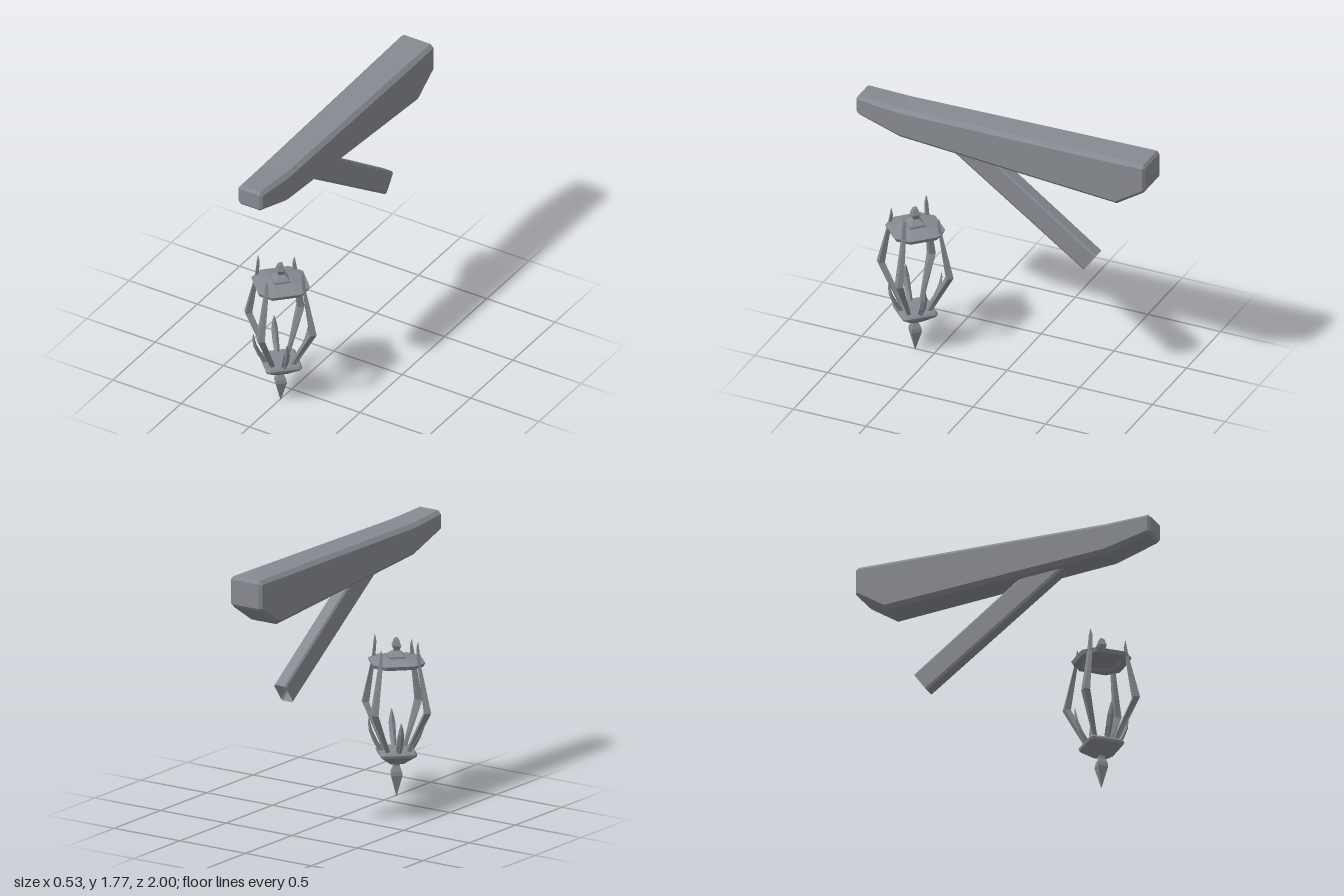
import * as THREE from 'three';

const iron = new THREE.MeshStandardMaterial({ color: 0x868990, flatShading: true });
const ironOpen = new THREE.MeshStandardMaterial({ color: 0x868990, flatShading: true, side: THREE.DoubleSide });

// Skin a list of equal-length rings of [x, y, z]; rings run counter-clockwise about the loft direction.
function loft(name, rings, capped = true) {
  const pos = [];
  const n = rings[0].length;
  const tri = (a, b, c) => pos.push(...a, ...b, ...c);
  for (let i = 0; i < rings.length - 1; i++) {
    for (let j = 0; j < n; j++) {
      const k = (j + 1) % n;
      const [lo, hi] = [rings[i], rings[i + 1]];
      tri(lo[j], lo[k], hi[k]);
      tri(lo[j], hi[k], hi[j]);
    }
  }
  if (capped) {
    const first = rings[0];
    const last = rings[rings.length - 1];
    for (let j = 1; j < n - 1; j++) {
      tri(first[0], first[j + 1], first[j]);
      tri(last[0], last[j], last[j + 1]);
    }
  }
  const geo = new THREE.BufferGeometry();
  geo.setAttribute('position', new THREE.Float32BufferAttribute(pos, 3));
  geo.computeVertexNormals();
  const mesh = new THREE.Mesh(geo, capped ? iron : ironOpen);
  mesh.name = name;
  return mesh;
}

// Chamfered rectangle across the beam
const beamRing = ([z, y0, y1, h, b]) => [
  [h, y0 + b, z], [h, y1 - b, z], [h - b, y1, z], [b - h, y1, z],
  [-h, y1 - b, z], [-h, y0 + b, z], [b - h, y0, z], [h - b, y0, z],
];

// Diagonal square with cut corners, r = reach along the axes, c = half width of the cut
const octRing = ([y, r, c]) => [
  [r, y, c], [r, y, -c], [c, y, -r], [-c, y, -r],
  [-r, y, -c], [-r, y, c], [-c, y, r], [c, y, r],
];

// Square ring with its corners on the axes
const diamondRing = ([y, r]) => [[r, y, 0], [0, y, -r], [-r, y, 0], [0, y, r]];

// Kite-shaped ring standing out along +x: inner and outer reach, half width
const kiteRing = ([y, inner, outer, w]) => {
  const m = (inner + outer) / 2;
  return [[outer, y, 0], [m, y, -w], [inner, y, 0], [m, y, w]];
};

// Beam with square-cornered end faces
function createBeam() {
  return loft('beam', [
    [-1, 1.595, 1.755, 0.1, 0.003],
    [-0.985, 1.575, 1.775, 0.12, 0.022],
    [-0.8, 1.452, 1.774, 0.12, 0.025],
    [0.7, 1.556, 1.76, 0.106, 0.025],
    [0.985, 1.638, 1.775, 0.09, 0.022],
    [1, 1.655, 1.757, 0.072, 0.003],
  ].map(beamRing));
}

// Open-ended sloping strut; each ring spans from its lower to its upper edge
function createBrace() {
  const section = [
    [0.045, 0.1], [0.045, 0.92], [0.036, 1], [-0.036, 1],
    [-0.045, 0.92], [-0.045, 0.1], [-0.036, 0], [0.036, 0],
  ];
  const ends = [
    { low: [0.878, -0.545], high: [1.0, -0.632] },
    { low: [1.55, 0.41], high: [1.55, 0.13] },
  ];
  return loft('brace', ends.map(({ low, high }) => section.map(([x, t]) => [
    x, low[0] + (high[0] - low[0]) * t, low[1] + (high[1] - low[1]) * t,
  ])), false);
}

function createLantern() {
  const lantern = new THREE.Group();
  lantern.name = 'lantern';
  lantern.position.z = 0.632;

  // Roof plate with a shallow recess underneath
  lantern.add(loft('roofPlate', [
    [0.868, 0.115, 0.03], [0.85, 0.13, 0.035], [0.85, 0.172, 0.048],
    [0.875, 0.183, 0.052], [0.895, 0.075, 0.02],
  ].map(octRing)));

  // Roof finial: stepped foot and bud
  lantern.add(loft('roofFinial', [
    [0.89, 0.073], [0.908, 0.073], [0.93, 0.04], [0.94, 0.022],
    [0.97, 0.038], [1.012, 0.02], [1.022, 0.008],
  ].map(diamondRing)));

  // Bottom bowl
  lantern.add(loft('bowl', [
    [0.213, 0.057, 0.006], [0.27, 0.146, 0.012], [0.286, 0.152, 0.012], [0.3, 0.138, 0.011],
  ].map(octRing)));

  // Hanging spike
  lantern.add(loft('spike', [
    [0, 0.003], [0.135, 0.047], [0.16, 0.043], [0.195, 0.025], [0.22, 0.028],
  ].map(diamondRing)));

  // Four bent arms and, between them, four upright leaves
  for (let i = 0; i < 4; i++) {
    const tip = i % 2 === 0 ? 1.015 : 0.97;
    const arm = loft('arm', [
      [0.29, 0.065, 0.11, 0.014],
      [0.57, 0.208, 0.265, 0.031],
      [0.86, 0.162, 0.188, 0.018],
      [tip - 0.04, 0.152, 0.174, 0.013],
      [tip, 0.162, 0.167, 0.003],
    ].map(kiteRing));
    arm.rotation.y = i * Math.PI / 2;

    const leaf = loft('leaf', [
      [0.29, 0.07, 0.11, 0.017],
      [0.36, 0.12, 0.15, 0.021],
      [0.43, 0.153, 0.176, 0.021],
      [0.48, 0.166, 0.18, 0.011],
      [0.512, 0.173, 0.177, 0.002],
    ].map(kiteRing));
    leaf.rotation.y = (i + 0.5) * Math.PI / 2;
    lantern.add(arm, leaf);
  }
  return lantern;
}

export function createModel() {
  const model = new THREE.Group();
  model.name = 'hangingLanternBracket';
  model.add(createBeam(), createBrace(), createLantern());
  return model;
}
